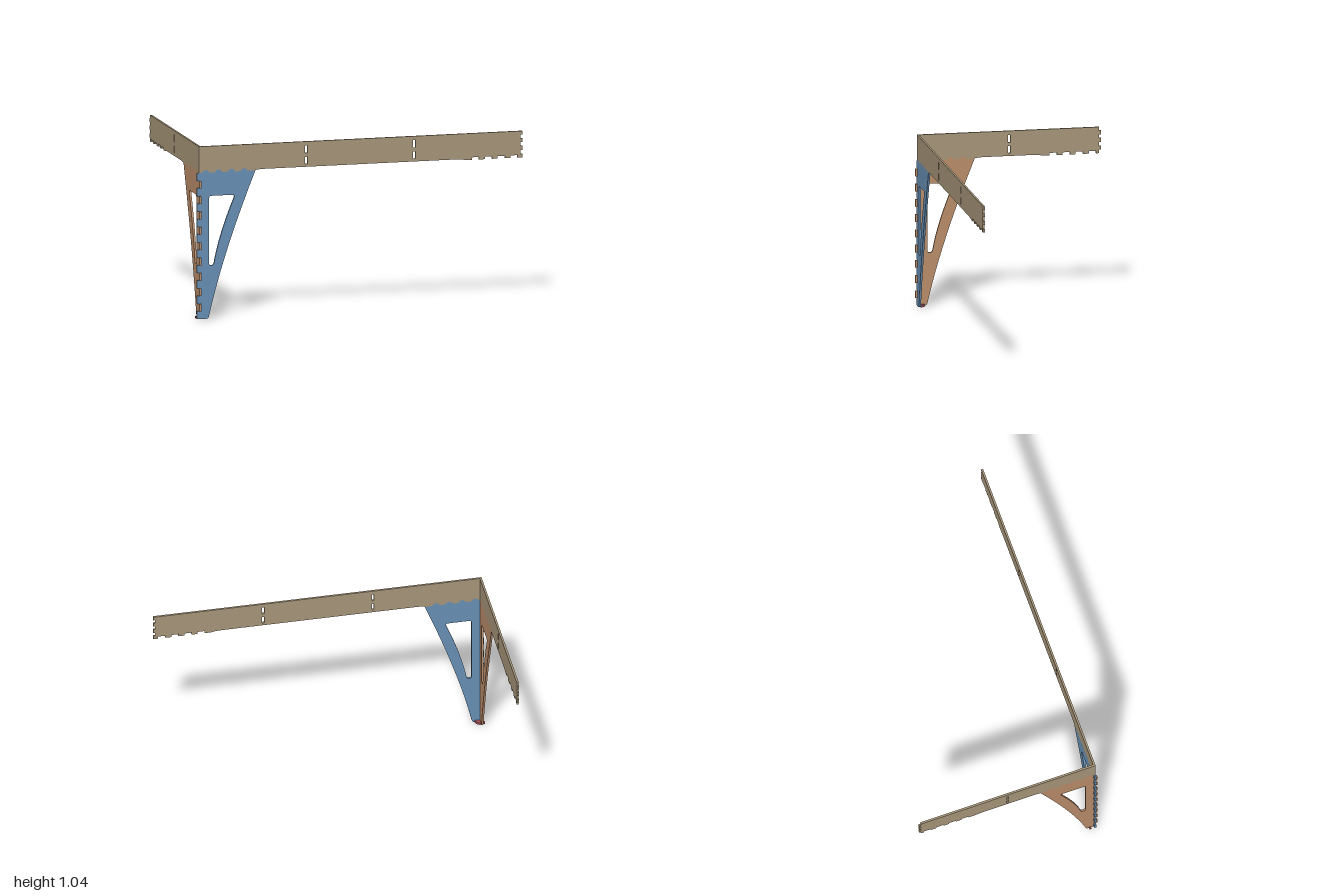
import * as THREE from 'three';

const T = 0.012;                     // sheet thickness
const TOP = 1.04, MID = 0.888, LOW = 0.881, NOTCH = 0.896;
const X0 = -0.987, Z0 = 0.549;       // outer corner of the two sheets

const mat = (name, color) => {
  const m = new THREE.MeshStandardMaterial({ color });
  m.name = name;
  return m;
};

// spans of the four joint teeth, measured from the corner
const teeth = [0, 1, 2, 3].map(i => [0.018 + i * 0.079, 0.062 + i * 0.079]);

function rectHole(x0, x1, y0, y1) {
  return new THREE.Path().moveTo(x0, y0).lineTo(x0, y1).lineTo(x1, y1).lineTo(x1, y0).closePath();
}

// beam: notched lower edge at both ends, fingers on the far end, slots on the way
function beamShape(start, end, fingers, slots) {
  const s = new THREE.Shape().moveTo(start, TOP).lineTo(start, LOW);
  for (const [a, b] of teeth) {
    s.lineTo(a, LOW).lineTo(a + 0.01, NOTCH).lineTo(b - 0.01, NOTCH).lineTo(b, LOW);
  }
  s.lineTo(0.34, LOW).quadraticCurveTo(0.36, MID, 0.41, MID);
  s.lineTo(end - 0.41, MID).quadraticCurveTo(end - 0.36, MID, end - 0.34, LOW);
  for (const [a, b] of [...teeth].reverse()) {
    s.lineTo(end - b, LOW).lineTo(end - b, NOTCH).lineTo(end - a, NOTCH).lineTo(end - a, LOW);
  }
  s.lineTo(end, LOW);
  for (const [a, b] of fingers) {
    s.lineTo(end, a).lineTo(end + T, a).lineTo(end + T, b).lineTo(end, b);
  }
  s.lineTo(end, TOP).closePath();
  for (const x of slots) {
    s.holes.push(rectHole(x, x + 0.013, 0.905, 0.948), rectHole(x, x + 0.013, 0.971, 1.016));
  }
  return s;
}

// leg: tapering bracket with a window and tabs along its corner edge
function legShape(tabs, reach) {
  const s = new THREE.Shape().moveTo(T, 0.003).lineTo(0.048, 0.003);
  s.quadraticCurveTo(0.06, 0.004, 0.064, 0.03);
  s.quadraticCurveTo(0.15, 0.4, 0.346, LOW);
  for (const [a, b] of [...teeth].reverse()) {
    s.lineTo(b, LOW).lineTo(b - 0.01, NOTCH).lineTo(a + 0.01, NOTCH).lineTo(a, LOW);
  }
  s.lineTo(T, LOW);
  for (const [a, b] of [...tabs].reverse()) {
    s.lineTo(T, b).lineTo(reach, b).lineTo(reach, a).lineTo(T, a);
  }
  s.closePath();
  const w = new THREE.Path().moveTo(0.062, 0.335);
  w.lineTo(0.062, 0.725).quadraticCurveTo(0.062, 0.741, 0.078, 0.741);
  w.lineTo(0.205, 0.741).quadraticCurveTo(0.222, 0.741, 0.215, 0.723);
  w.quadraticCurveTo(0.122, 0.5, 0.093, 0.338);
  w.quadraticCurveTo(0.09, 0.323, 0.08, 0.323);
  w.lineTo(0.074, 0.323).quadraticCurveTo(0.062, 0.323, 0.062, 0.335);
  s.holes.push(w);
  return s;
}

function sheet(name, shape, material) {
  const geo = new THREE.ExtrudeGeometry(shape, { depth: T, bevelEnabled: false, curveSegments: 10 });
  const m = new THREE.Mesh(geo, material);
  m.name = name;
  return m;
}

export function createModel() {
  const tan = mat('tan board', 0xa8977a);
  const blue = mat('blue board', 0x6890b5);
  const orange = mat('orange board', 0xba8d6a);
  const red = mat('red foot', 0xa0505a);

  const model = new THREE.Group();
  model.name = 'cornerFrame';

  // interlocking finger and tab rows
  const sideFingers = [[0.902, 0.926], [0.95, 0.974], [0.995, 1.018]];
  const frontFingers = [[LOW, 0.902], [0.926, 0.95], [0.974, 0.995], [1.018, TOP]];
  const sideTabs = [], frontTabs = [[0.003, 0.05]];
  for (let i = 0; i < 9; i++) {
    const y = 0.05 + i * 0.0924;
    sideTabs.push([y, y + 0.045]);
    frontTabs.push([y + 0.045, Math.min(y + 0.0924, LOW)]);
  }
  frontFingers[0][0] += 0.0005;
  frontFingers[3][1] -= 0.0005;

  // front sheets run along x
  const front = new THREE.Group();
  front.name = 'frontSide';
  front.add(
    sheet('frontBeam', beamShape(0, 1.974, frontFingers, [0.652, 1.315]), tan),
    sheet('frontLeg', legShape(frontTabs, -T), blue)
  );
  front.position.set(X0, 0, Z0 - T);

  // side sheets run back along z
  const side = new THREE.Group();
  side.name = 'rightSide';
  side.add(
    sheet('sideBeam', beamShape(T, 1.097, sideFingers, [0.548]), tan),
    sheet('sideLeg', legShape(sideTabs, -T), orange)
  );
  side.rotation.y = Math.PI / 2;
  side.position.set(X0, 0, Z0);

  // quarter-round foot in the corner with its locking tab
  const foot = new THREE.Group();
  foot.name = 'foot';
  const pad = new THREE.Mesh(new THREE.CylinderGeometry(0.032, 0.032, 0.014, 12, 1, false, Math.PI / 2, Math.PI / 2), red);
  pad.name = 'footPad';
  pad.position.set(X0 + T, 0.007, Z0 - T);
  const tab = new THREE.Mesh(new THREE.BoxGeometry(0.026, 0.012, 0.012), red);
  tab.name = 'footTab';
  tab.position.set(X0 + 0.001, 0.008, 0.513);
  foot.add(pad, tab);

  model.add(front, side, foot);
  return model;
}
